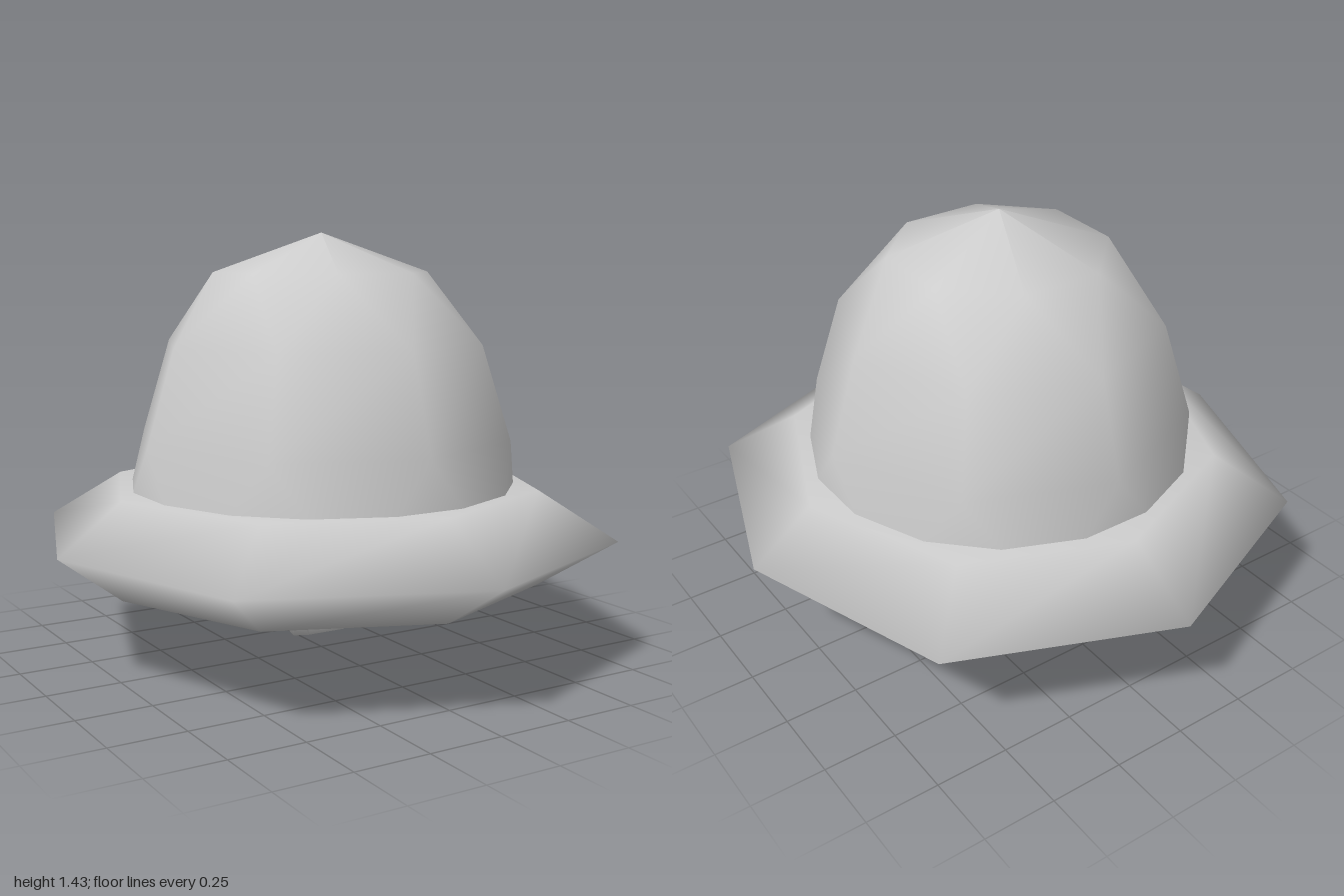
import * as THREE from 'three';

const material = new THREE.MeshStandardMaterial({ color: 0xcccccc, side: THREE.DoubleSide });

// Smooth skin over closed rings of equal point count
function loft(name, rings) {
  const n = rings[0].length;
  const index = [];
  for (let r = 0; r < rings.length - 1; r++) {
    for (let i = 0; i < n; i++) {
      const a = r * n + i, b = r * n + (i + 1) % n;
      index.push(a, a + n, b, b, a + n, b + n);
    }
  }
  const geometry = new THREE.BufferGeometry();
  geometry.setAttribute('position', new THREE.Float32BufferAttribute(rings.flat(2), 3));
  geometry.setIndex(index);
  geometry.computeVertexNormals();
  const mesh = new THREE.Mesh(geometry, material);
  mesh.name = name;
  return mesh;
}

// Horizontal octagon, turned by a fraction of a side; its x corners can be pulled in
function octagon(radius, y, turn = 0, pull = 1) {
  return Array.from({ length: 8 }, (_, i) => {
    const a = (i + turn) * Math.PI / 4;
    const k = i % 4 === 0 ? pull : 1;
    return [radius * k * Math.cos(a), y, -radius * Math.sin(a)];
  });
}

// Rectangle across x, spanning two points of the side outline
const square = ([z1, y1, z2, y2, w]) => [[w, y2, z2], [w, y1, z1], [-w, y1, z1], [-w, y2, z2]];

// Upright hexagon: half width, half height at the sides, half height at the middle
const hexagon = ([z, w, side, mid]) =>
  [[0, mid], [w, side], [w, -side], [0, -mid], [-w, -side], [-w, side]]
    .map(([x, y]) => [x, 0.0925 + y, z]);

export function createModel() {
  const group = new THREE.Group();

  // Dome of octagons; the lowest, turned by half a side, sits inside the brim
  const dome = [[0, 1.43, 0.5], [0.363, 1.3, 0.5], [0.545, 1.065, 1], [0.643, 0.75, 1], [0.693, 0.4, 1.5]];
  group.add(loft('dome', dome.map((d) => octagon(...d))));

  // Eight-sided brim with a sharp rim and closed underside
  const brim = [[0, 0.59], [0.737, 0.59], [1, 0.43, 0, 0.95], [0.737, 0.268], [0, 0.268]];
  group.add(loft('brim', brim.map((b) => octagon(...b))));

  // Square bent pipe below the brim, tapering to the back
  const pipe = [
    [0.07, 0.28, -0.065, 0.28, 0.07],
    [0.07, 0.15, -0.065, 0.15, 0.07],
    [0.035, 0.063, -0.065, 0.15, 0.07],
    [-0.07, 0.033, -0.065, 0.15, 0.07],
    [-0.24, 0.052, -0.24, 0.137, 0.045],
  ];
  group.add(loft('pipe', pipe.map(square)));

  // Flared nozzle with a shallow hollow end
  const nozzle = [
    [-0.235, 0.045, 0.042, 0.042],
    [-0.257, 0.085, 0.055, 0.078],
    [-0.274, 0.095, 0.063, 0.0915],
    [-0.262, 0, 0, 0],
  ];
  group.add(loft('nozzle', nozzle.map(hexagon)));

  // Thin spike pointing out of the nozzle
  const spike = new THREE.Mesh(new THREE.ConeGeometry(0.016, 0.135, 6), material);
  spike.name = 'spike';
  spike.rotation.x = -Math.PI / 2;
  spike.position.set(0, 0.0925, -0.3275);
  group.add(spike);

  return group;
}
